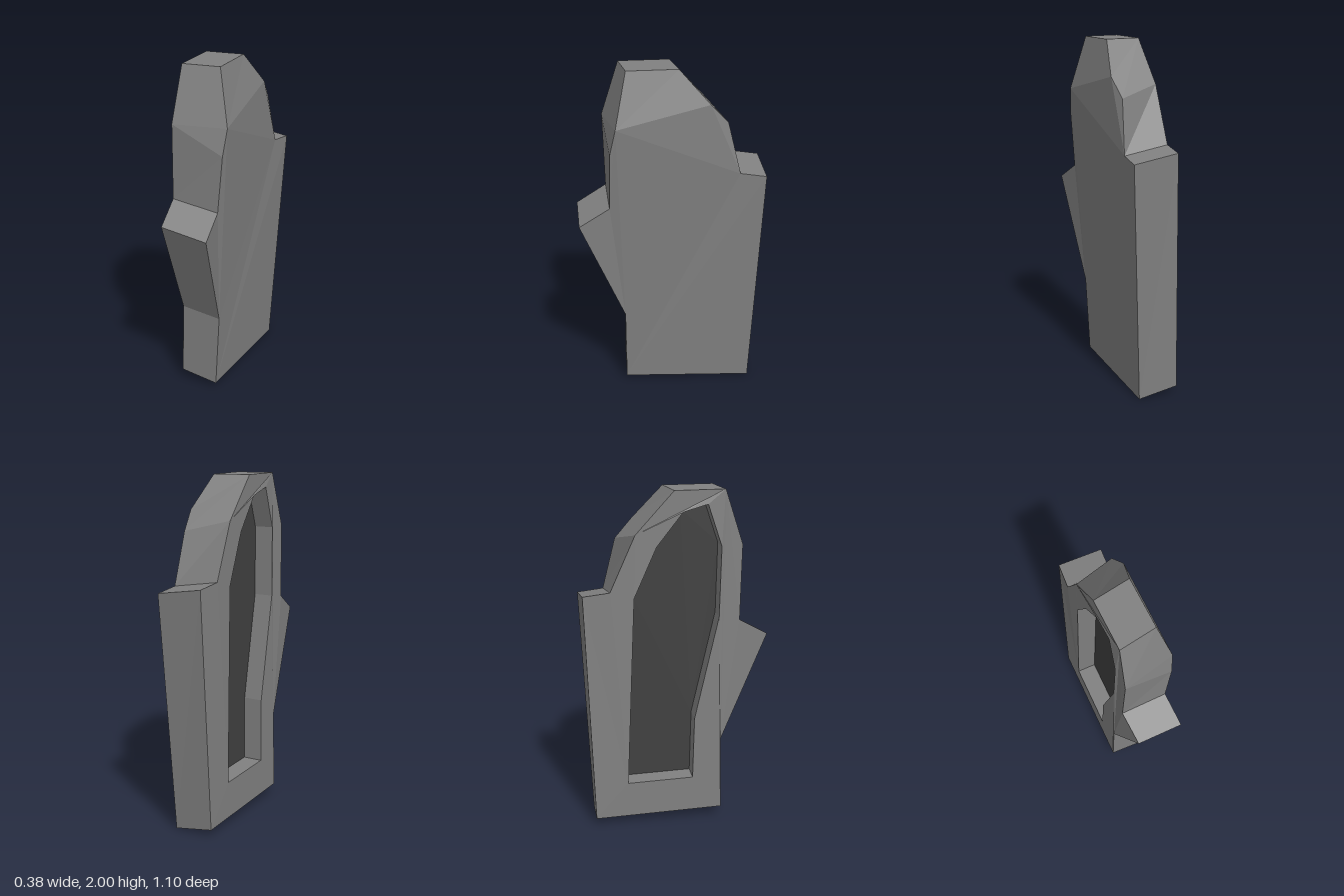
import * as THREE from 'three';

const V = (x, y, z) => new THREE.Vector3(x, y, z);

// Flat-faced mesh from a list of triangles
function mesh(name, tris, material) {
  const g = new THREE.BufferGeometry().setFromPoints(tris.flat());
  g.computeVertexNormals();
  const m = new THREE.Mesh(g, material);
  m.name = name;
  return m;
}

// Fill a side outline (with optional hole), facing +x or -x
function fill(outline, sign, hole = []) {
  const flat = (pts) => pts.map((p) => new THREE.Vector2(p.z, p.y));
  const all = [...outline, ...hole];
  const faces = THREE.ShapeUtils.triangulateShape(flat(outline), hole.length ? [flat(hole)] : []);
  return faces.map(([a, b, c]) => {
    const t = [all[a], all[b], all[c]];
    const n = new THREE.Vector3().subVectors(t[1], t[0]).cross(new THREE.Vector3().subVectors(t[2], t[0]));
    return n.x * sign < 0 ? t.reverse() : t;
  });
}

export function createModel() {
  const group = new THREE.Group();
  const stone = new THREE.MeshStandardMaterial({ color: 0x808080 });
  const dark = new THREE.MeshStandardMaterial({ color: 0x3f3f3f });
  stone.name = 'stoneGrey';
  dark.name = 'darkGrey';

  // Outline stations: -x point, +x point, optional extra +x point before the next station
  const chamferFront = V(0.19, 1.69, 0.3), chamferBack = V(0.115, 1.81, -0.225);
  const stations = [
    [V(-0.14, 0.06, 0.285), V(0.09, 0.03, 0.27)],
    [V(-0.13, 0.51, 0.28), V(0.115, 0.49, 0.27)],
    [V(-0.08, 1.15, 0.55), V(0.19, 1.11, 0.52)],
    [V(-0.115, 1.25, 0.38), V(0.155, 1.21, 0.345)],
    [V(-0.105, 1.69, 0.39), V(0.18, 1.54, 0.335), chamferFront],
    [V(-0.1, 2, 0.29), V(0.11, 2, 0.24)],
    [V(-0.13, 2, 0), V(0.08, 2, -0.05), chamferBack],
    [V(-0.15, 1.76, -0.22), V(0.085, 1.7, -0.325)],
    [V(-0.165, 1.44, -0.365), V(0.1, 1.4, -0.4)],
    [V(-0.165, 1.42, -0.52), V(0.1, 1.38, -0.55)],
    [V(-0.195, 0.04, -0.475), V(0.04, 0, -0.49)],
  ];

  // Edge band around the slab
  const band = [];
  stations.forEach(([l, r, extra], i) => {
    const [l2, r2] = stations[(i + 1) % stations.length];
    const loop = [l, r, ...(extra ? [extra] : []), r2, l2];
    for (let k = 1; k < loop.length - 1; k++) band.push([l, loop[k], loop[k + 1]]);
  });
  group.add(mesh('edgeBand', band, stone));

  // Plain side with its chamfered top
  const R = stations.map((s) => s[1]);
  group.add(mesh('plainSide', fill([...R.slice(0, 5), chamferFront, chamferBack, ...R.slice(8)], 1), stone));
  group.add(mesh('topChamfer', [
    ...fill([chamferFront, R[5], R[6], chamferBack], 1),
    ...fill([chamferBack, R[7], R[8]], 1),
  ], stone));

  // Recessed side: rim with an opening, inner walls and floor
  const rim = [
    [0.11, 0.27], [0.12, 0.65], [0.26, 1.27], [0.27, 1.68], [0.19, 1.92],
    [0.05, 1.88], [-0.1, 1.69], [-0.23, 1.4], [-0.28, 0.26],
  ].map(([z, y]) => V(-0.162 + 0.072 * z + 0.016 * y, y, z));
  const floor = rim.map((p) => p.clone().add(V(0.115, 0, -0.008)));
  group.add(mesh('recessRim', fill(stations.map((s) => s[0]), -1, rim), stone));
  const walls = rim.flatMap((p, i) => {
    const j = (i + 1) % rim.length;
    return [[p, rim[j], floor[j]], [p, floor[j], floor[i]]];
  });
  group.add(mesh('recessWalls', walls, stone));
  group.add(mesh('recessFloor', fill(floor, -1), dark));
  return group;
}
